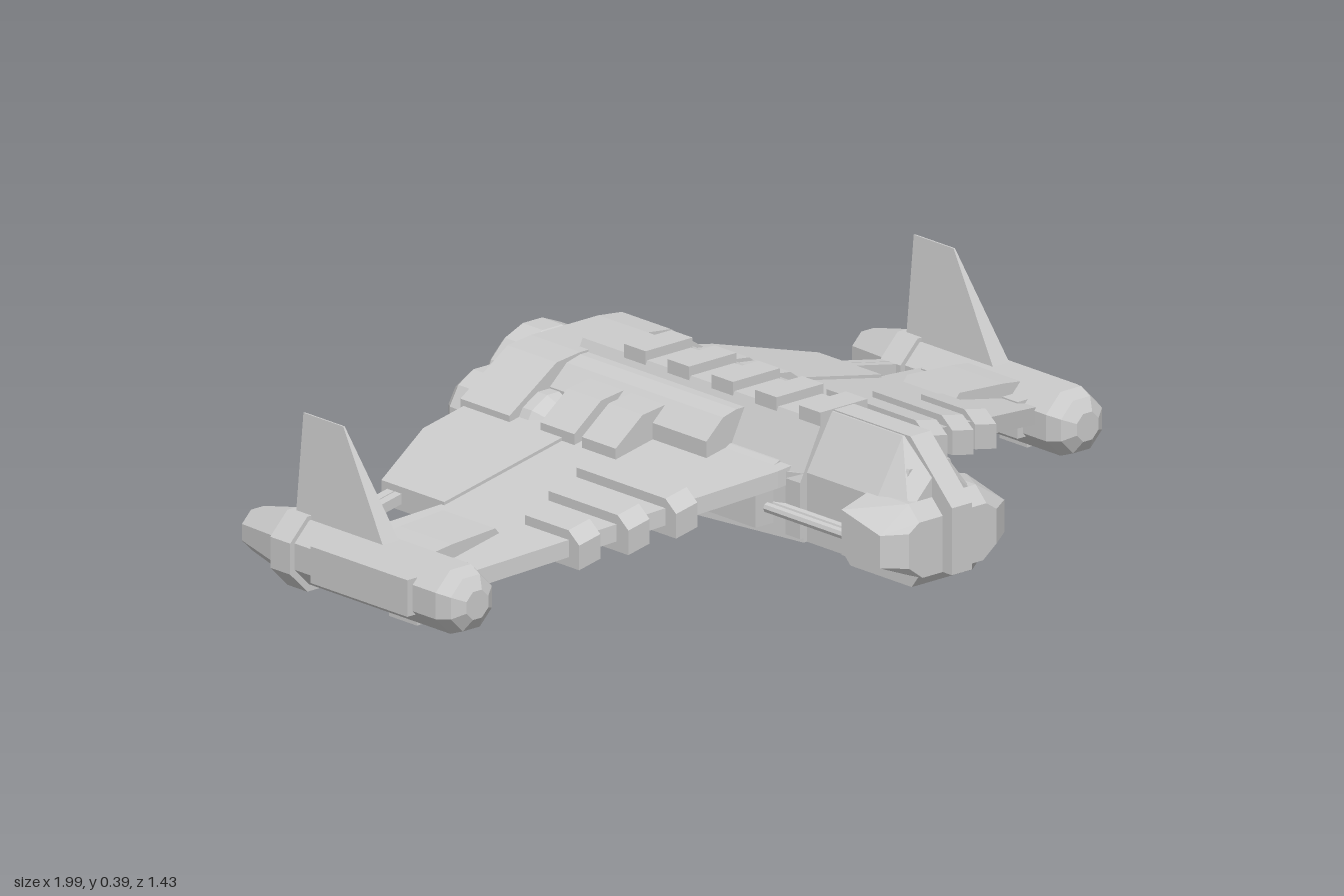
import * as THREE from 'three';
import { ConvexGeometry } from 'three/addons/geometries/ConvexGeometry.js';

const material = new THREE.MeshStandardMaterial({ color: 0xcccccc, flatShading: true, side: THREE.DoubleSide });

// Height of the drooping wing's middle plane
const wingY = (x) => 0.28 - 0.2 * Math.abs(x);

export function createModel() {
  const model = new THREE.Group();

  function add(name, geometry) {
    const mesh = new THREE.Mesh(geometry, material);
    mesh.name = name;
    model.add(mesh);
    return mesh;
  }

  const hull = (name, points) =>
    add(name, new ConvexGeometry(points.map((p) => new THREE.Vector3(...p))));

  // Symmetric solid through sections [z, [x, y], ...], given as right halves
  function body(name, ...sections) {
    const points = [];
    for (const [z, ...half] of sections)
      for (const [x, y] of half) points.push([x, y, z], [-x, y, z]);
    return hull(name, points);
  }

  // Solid between section [x, y] points extruded from z0 to z1, on side s
  const prism = (name, s, section, z0, z1) =>
    hull(name, section.flatMap(([x, y]) => [[s * x, y, z0], [s * x, y, z1]]));

  function box(name, x0, x1, y0, y1, z0, z1) {
    const geometry = new THREE.BoxGeometry(x1 - x0, y1 - y0, z1 - z0);
    geometry.translate((x0 + x1) / 2, (y0 + y1) / 2, (z0 + z1) / 2);
    return add(name, geometry);
  }

  // Turned part along z, profile as [radius, z] from back to front
  function turned(name, x, y, profile, sides) {
    const points = profile.map(([r, z]) => new THREE.Vector2(r, z));
    const geometry = new THREE.LatheGeometry(points, sides);
    geometry.rotateY(Math.PI / sides);
    geometry.rotateX(Math.PI / 2);
    geometry.translate(x, y, 0);
    return add(name, geometry);
  }

  // Flat plate from an [x, z] outline, sheared to follow the wing's droop
  function plate(name, s, outline, thickness) {
    const shape = new THREE.Shape(outline.map(([x, z]) => new THREE.Vector2(s * x, -z)));
    const geometry = new THREE.ExtrudeGeometry(shape, { depth: thickness, bevelEnabled: false });
    geometry.rotateX(-Math.PI / 2);
    const p = geometry.attributes.position;
    for (let i = 0; i < p.count; i++) p.setY(i, p.getY(i) - thickness / 2 + wingY(p.getX(i)));
    geometry.computeVertexNormals();
    return add(name, geometry);
  }

  // Fuselage
  const spine = [[0.065, 0.378], [0.1, 0.3], [0.13, 0.25], [0.13, 0.12]];
  body('fuselage', [-0.45, ...spine], [0.33, ...spine]);
  body('belly',
    [0.33, [0.12, 0.27], [0.12, 0.11]],
    [-0.1, [0.19, 0.2], [0.12, 0.1]],
    [-0.43, [0.28, 0.2], [0.28, 0.13], [0.11, 0.06]]);
  const rear = [[0.1, 0.355], [0.14, 0.345], [0.19, 0.3], [0.19, 0.18]];
  body('rearShoulders', [-0.43, ...rear], [0.09, ...rear]);
  const fore = [[0.12, 0.28], [0.19, 0.245], [0.19, 0.14]];
  body('frontShoulders', [0.09, ...fore], [0.25, ...fore]);
  for (let i = 0; i < 5; i++) {
    const z = -0.31 + i * 0.1425;
    box('spineRib', -0.07, 0.07, 0.34, 0.4, z, z + 0.07);
  }

  // Engine block and thrusters
  const block = [[0.1, 0.36], [0.17, 0.352], [0.31, 0.26], [0.31, 0.14], [0.24, 0.085], [0.11, 0.042]];
  body('engineBlock', [-0.58, ...block], [-0.42, ...block]);
  turned('mainThruster', 0, 0.2,
    [[0, -0.715], [0.12, -0.715], [0.148, -0.685], [0.148, -0.62], [0.125, -0.57], [0.125, -0.45], [0, -0.45]], 16);

  // Neck, nose and chin
  const neck = [[0.035, 0.395], [0.11, 0.27], [0.11, 0.11]];
  body('neck', [0.3, ...neck], [0.56, ...neck], [0.65, [0.03, 0.32], [0.1, 0.25], [0.1, 0.11]]);
  body('noseRidge',
    [0.33, [0.03, 0.398], [0.03, 0.11]],
    [0.58, [0.03, 0.398]],
    [0.715, [0.03, 0.265], [0.03, 0.11]]);
  body('noseHousing',
    [0.525, [0.1, 0.275], [0.185, 0.25], [0.185, 0.145], [0.1, 0.11]],
    [0.65, [0.1, 0.275], [0.185, 0.22], [0.185, 0.145], [0.1, 0.11]],
    [0.685, [0.1, 0.24], [0.13, 0.22], [0.13, 0.14], [0.09, 0.11]]);
  body('chin',
    [0.41, [0.09, 0.12]],
    [0.45, [0.09, 0.08]],
    [0.65, [0.09, 0.08]],
    [0.68, [0.09, 0.12]]);
  body('cockpitWindows',
    [0.51, [0.06, 0.335], [0.1, 0.27]],
    [0.61, [0.06, 0.335], [0.085, 0.27]]);

  for (const s of [1, -1]) {
    turned('sideThruster', s * 0.2, 0.2,
      [[0, -0.66], [0.075, -0.66], [0.1, -0.63], [0.1, -0.39], [0.08, -0.35], [0, -0.35]], 12);

    // Rods beside the neck
    for (const x of [0.13, 0.155]) {
      const rod = new THREE.CylinderGeometry(0.012, 0.012, 0.32, 8);
      rod.rotateX(Math.PI / 2);
      rod.translate(s * x, 0.18, 0.39);
      add('neckRod', rod);
    }

    // Sloped housings on the back
    for (const z of [-0.33, -0.195])
      prism('backHousing', s,
        [[0.14, 0.335], [0.22, 0.325], [0.3, 0.265], [0.3, 0.2], [0.14, 0.2]], z, z + 0.11);

    // Wing
    plate('wing', s, [[0.05, 0.3], [0.15, 0.28], [0.84, 0.035], [0.84, -0.335], [0.65, -0.27], [0.05, -0.27]], 0.04);
    plate('rearWingPanel', s, [[0.05, -0.26], [0.65, -0.26], [0.65, -0.465], [0.43, -0.57], [0.05, -0.57]], 0.055);

    // Strips wrapped over the leading edge, with bevelled fronts
    [[0.34, -0.1, 0.225], [0.45, -0.07, 0.19], [0.557, -0.03, 0.147]].forEach(([x0, z0, z1]) => {
      const points = [];
      for (const x of [x0, x0 + 0.063])
        for (const [h, z] of [[0.042, z0], [0.042, z1 - 0.035], [0.015, z1], [-0.042, z1], [-0.042, z0 + 0.1], [0, z0]])
          points.push([s * x, wingY(x) + h, z]);
      hull('wingStrip', points);
    });

    // Wing tip fairing and struts
    prism('tipFairing', s,
      [[0.67, 0.155], [0.69, 0.178], [0.82, 0.17], [0.9, 0.16], [0.9, 0.07], [0.67, 0.13]], -0.22, -0.05);
    for (const z of [-0.435, -0.41])
      prism('tipStrut', s,
        [[0.6, wingY(0.6) + 0.012], [0.88, wingY(0.88) + 0.012], [0.88, wingY(0.88) - 0.012], [0.6, wingY(0.6) - 0.012]],
        z - 0.011, z + 0.011);

    // Wing tip pod
    const px = s * 0.907;
    turned('tipPod', px, 0.095,
      [[0, -0.587], [0.05, -0.587], [0.08, -0.45], [0.08, 0.075], [0.066, 0.11], [0.035, 0.13], [0, 0.13]], 8);
    turned('podCollar', px, 0.092, [[0, -0.45], [0.094, -0.45], [0.094, -0.385], [0, -0.385]], 8);
    box('podSidePanel', px - 0.09, px + 0.09, 0.055, 0.14, -0.315, 0);
    box('podKeel', px - 0.025, px + 0.025, 0.01, 0.05, -0.13, -0.04);

    // Upright fin, thinning to its top
    const fin = [];
    for (const d of [-1, 1])
      fin.push([px + d * 0.026, 0.15, -0.435], [px + d * 0.026, 0.15, -0.14],
        [px + d * 0.002, 0.4, -0.435], [px + d * 0.002, 0.4, -0.305]);
    hull('fin', fin);
  }
  return model;
}
